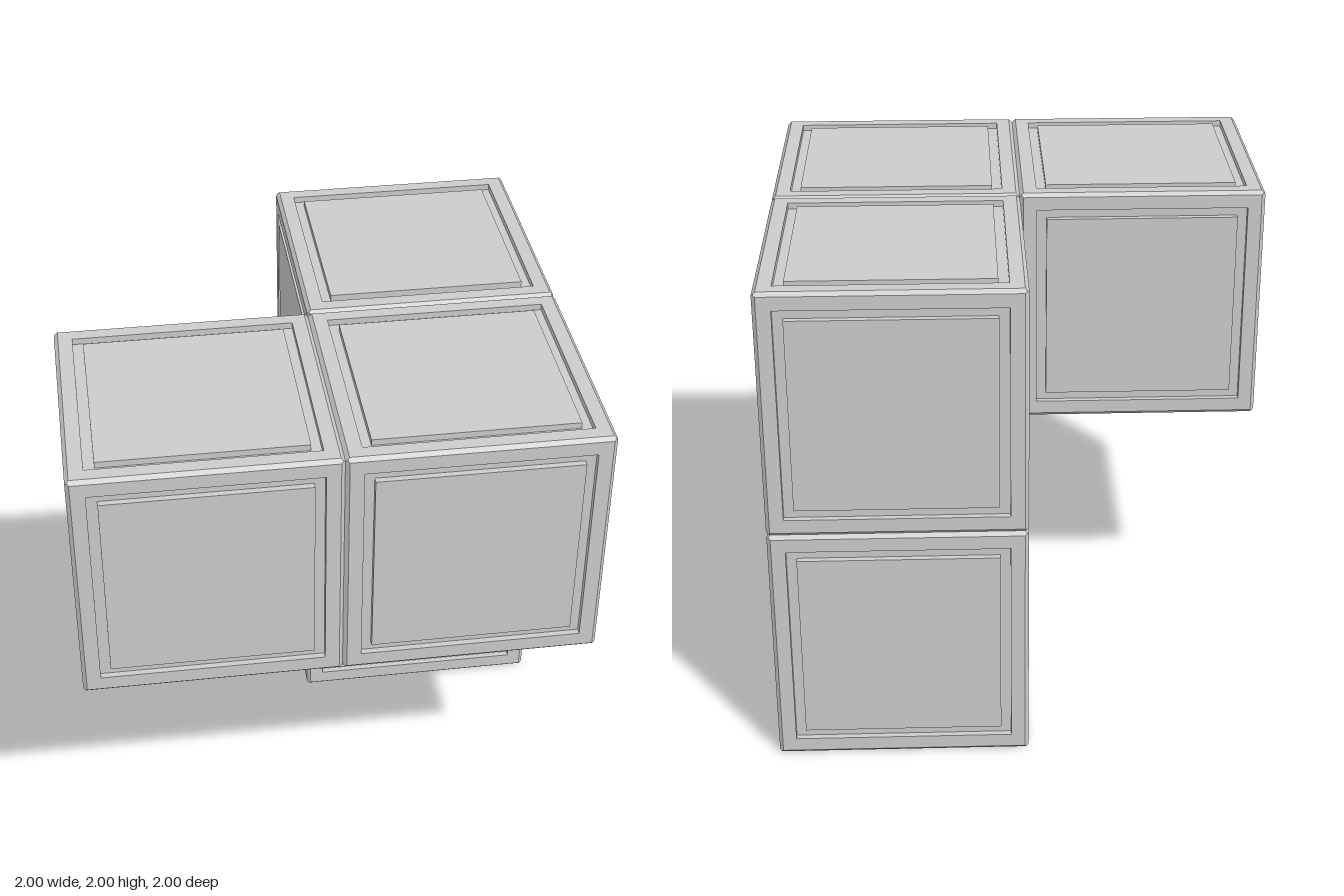
import * as THREE from 'three';
import { mergeGeometries } from 'three/addons/utils/BufferGeometryUtils.js';

const HALF = 0.5;      // half the cube's edge
const CHAMFER = 0.015; // bevel along the cube's edges
const DEPTH = 0.025;   // groove depth

// One cube side: half-width and height from the mitred bevel to the panel centre, swept round four sides
function sideGeometry() {
  const mitre = HALF - CHAMFER / 2;
  const profile = [
    [mitre, mitre],
    [HALF - CHAMFER, HALF],
    [0.43, HALF],
    [0.43, HALF - DEPTH],
    [0.39, HALF - DEPTH],
    [0.39, HALF],
    [0, HALF],
  ].map(([w, h]) => new THREE.Vector2(w * Math.SQRT2, h));
  const side = new THREE.LatheGeometry(profile, 4, Math.PI / 4).toNonIndexed();
  side.computeVertexNormals();
  return side;
}

// Six identical sides close up into a cube
function cubeGeometry() {
  const sides = [];
  for (let i = 0; i < 4; i++) sides.push(sideGeometry().rotateX(i * Math.PI / 2));
  for (const s of [-1, 1]) sides.push(sideGeometry().rotateZ(s * Math.PI / 2));
  return mergeGeometries(sides);
}

export function createModel() {
  const group = new THREE.Group();
  group.name = 'cubePuzzlePiece';
  const material = new THREE.MeshStandardMaterial({ color: 0xcccccc, flatShading: true });
  const geometry = cubeGeometry();

  // Three cubes in an L on top, one hanging below the back cube
  const cubes = {
    frontRightCube: [-0.5, 1.5, 0.5],
    frontLeftCube: [0.5, 1.5, 0.5],
    backCube: [0.5, 1.5, -0.5],
    lowerCube: [0.5, 0.5, -0.5],
  };
  for (const [name, position] of Object.entries(cubes)) {
    const cube = new THREE.Mesh(geometry, material);
    cube.name = name;
    cube.position.set(...position);
    group.add(cube);
  }
  return group;
}
